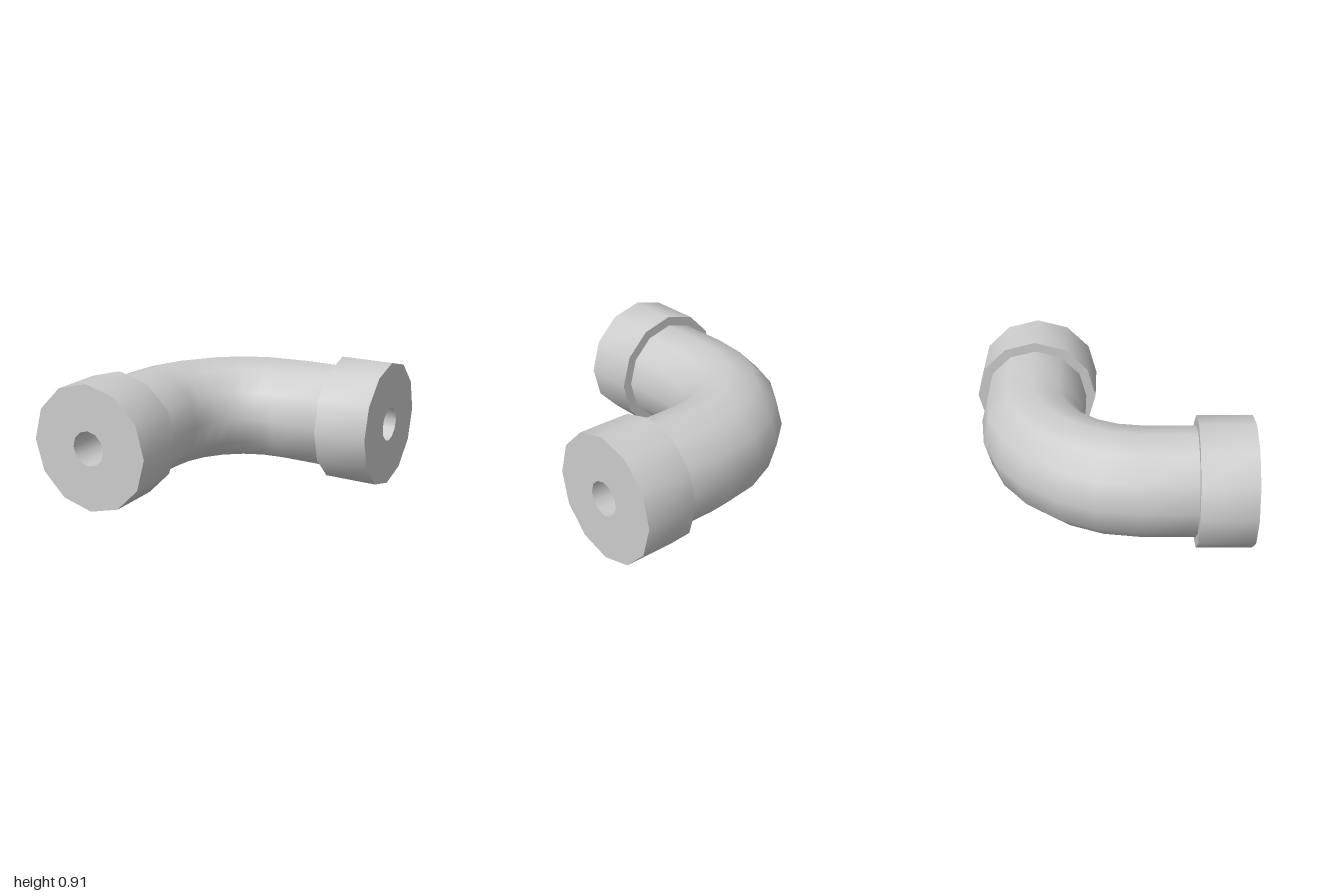
import * as THREE from 'three';
import { toCreasedNormals } from 'three/addons/utils/BufferGeometryUtils.js';

const SIDES = 12;
const AXIS = 0.545;     // distance of each arm's axis from the middle
const HEIGHT = 0.455;   // height of the pipe axis
const BEND = 0.23;      // x and z of the bend's centre
const PIPE_R = 0.383, COLLAR_R = 0.455, BORE_R = 0.125;
const COLLAR_START = 0.615, END = 1;

// Stations along the elbow: straight arm, quarter bend in six steps, straight arm
function stations(end) {
  const list = [{ x: -AXIS, z: end, nx: -1, nz: 0 }];
  for (let i = 0; i <= 6; i++) {
    const a = (i / 6) * Math.PI / 2;
    const nx = -Math.cos(a), nz = -Math.sin(a), r = AXIS + BEND;
    list.push({ x: BEND + r * nx, z: BEND + r * nz, nx, nz });
  }
  list.push({ x: end, z: -AXIS, nx: 0, nz: -1 });
  return list;
}

// Skin of a round section swept along the elbow; inward turns the faces inside
function sweep(radius, end, inward) {
  const path = stations(end), position = [], index = [];
  path.forEach((s, i) => {
    for (let j = 0; j < SIDES; j++) {
      const a = (j / SIDES) * Math.PI * 2, c = radius * Math.cos(a);
      position.push(s.x + c * s.nx, HEIGHT + radius * Math.sin(a), s.z + c * s.nz);
      if (i === path.length - 1) continue;
      const k = (j + 1) % SIDES;
      const p = i * SIDES + j, q = i * SIDES + k, r = p + SIDES, t = q + SIDES;
      if (inward) index.push(p, r, q, q, r, t);
      else index.push(p, q, r, q, t, r);
    }
  });
  const geometry = new THREE.BufferGeometry();
  geometry.setAttribute('position', new THREE.Float32BufferAttribute(position, 3));
  geometry.setIndex(index);
  geometry.computeVertexNormals();
  return geometry;
}

export function createModel() {
  const group = new THREE.Group();
  const material = new THREE.MeshStandardMaterial({ color: 0xcccccc });
  const add = (name, geometry) => {
    const mesh = new THREE.Mesh(geometry, material);
    mesh.name = name;
    group.add(mesh);
    return mesh;
  };

  // Curved pipe and the narrow bore through it
  add('elbowPipe', sweep(PIPE_R, COLLAR_START, false));
  add('bore', sweep(BORE_R, END, true));

  // End collars: step, outer wall and flat face with the bore opening
  const profile = [
    [PIPE_R, COLLAR_START], [COLLAR_R, COLLAR_START], [COLLAR_R, END], [BORE_R, END],
  ].map(([r, y]) => new THREE.Vector2(r, y));
  const collar = toCreasedNormals(new THREE.LatheGeometry(profile, SIDES), 0.6);

  const front = add('frontCollar', collar);
  front.rotation.x = Math.PI / 2;
  front.position.set(-AXIS, HEIGHT, 0);

  const side = add('leftCollar', collar);
  side.rotation.z = -Math.PI / 2;
  side.position.set(0, HEIGHT, -AXIS);

  return group;
}
